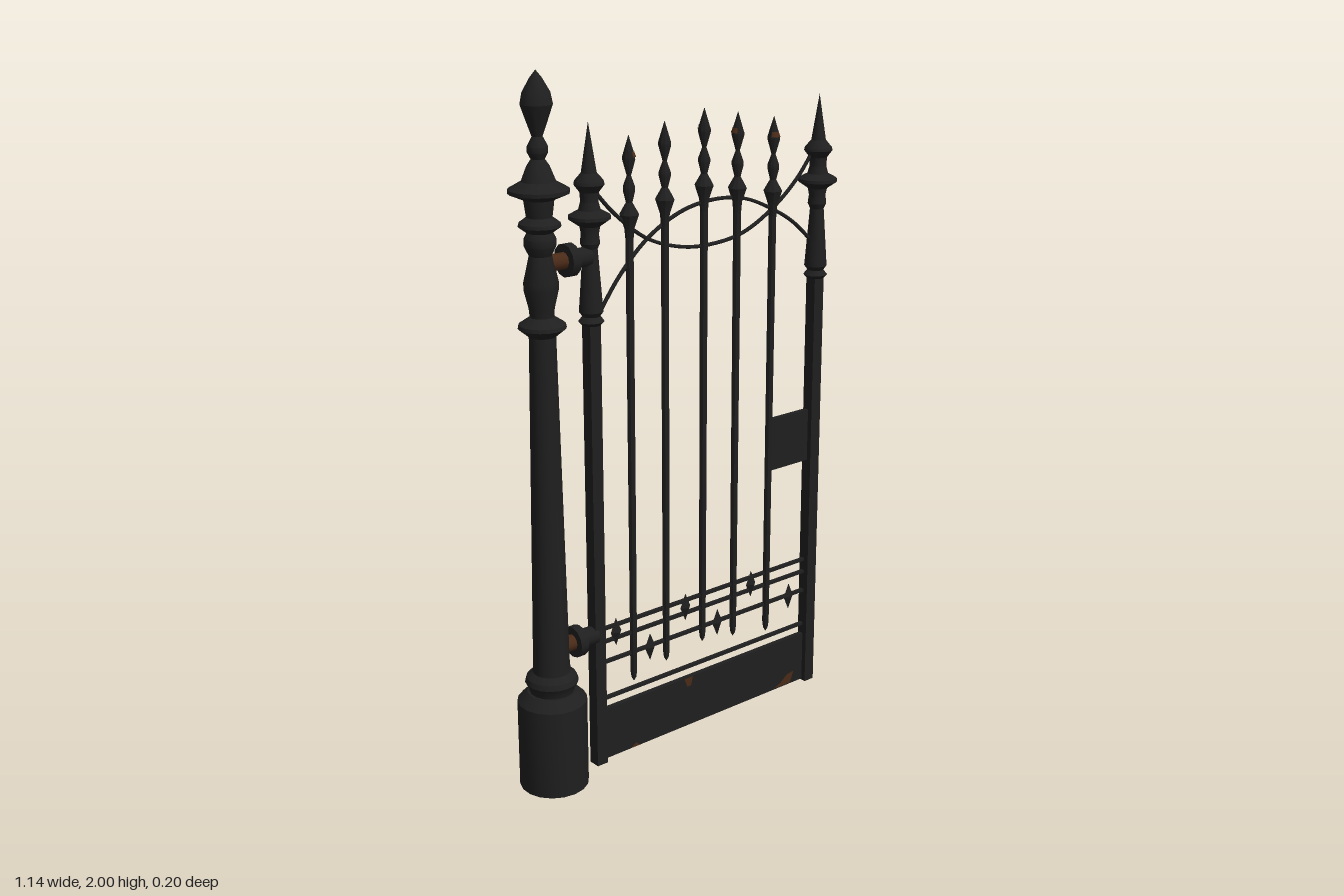
import * as THREE from 'three';
import { toCreasedNormals } from 'three/addons/utils/BufferGeometryUtils.js';

export function createModel() {
  const iron = new THREE.MeshStandardMaterial({ color: 0x1f1f1f });
  iron.name = 'blackIron';
  const rust = new THREE.MeshStandardMaterial({ color: 0x4a2a18 });
  rust.name = 'rust';
  const gate = new THREE.Group();
  gate.name = 'gate';

  const add = (name, geo, x = 0, y = 0, z = 0, mat = iron, parent = gate) => {
    const m = new THREE.Mesh(geo, mat);
    m.name = name;
    m.position.set(x, y, z);
    parent.add(m);
    return m;
  };
  // Profiles are [radius, height] pairs running upwards
  const lathe = (pts, sides) =>
    toCreasedNormals(new THREE.LatheGeometry(pts.map(p => new THREE.Vector2(...p)), sides), 0.5);
  const box = (name, x0, x1, y0, y1, z0, z1) =>
    add(name, new THREE.BoxGeometry(x1 - x0, y1 - y0, z1 - z0), (x0 + x1) / 2, (y0 + y1) / 2, (z0 + z1) / 2);

  // Main pillar: drum base, tapered shaft, turned capital and bud finial
  const pillarX = -0.474;
  add('pillarBase', lathe([[0, 0], [0.098, 0], [0.098, 0.262], [0.07, 0.29], [0, 0.29]], 18), pillarX);
  add('pillarShaft', lathe([
    [0.062, 0.285], [0.064, 0.3], [0.075, 0.32], [0.07, 0.335], [0.053, 0.35], [0.051, 0.38],
    [0.036, 1.3], [0.036, 1.32]], 18), pillarX);
  add('pillarCapital', lathe([
    [0.036, 1.315], [0.064, 1.338], [0.062, 1.348], [0.032, 1.368], [0.034, 1.39], [0.046, 1.44],
    [0.046, 1.46], [0.03, 1.53], [0.042, 1.555], [0.042, 1.575], [0.034, 1.59], [0.056, 1.606],
    [0.054, 1.615], [0.034, 1.63], [0.04, 1.675], [0.08, 1.692], [0.08, 1.702], [0.045, 1.722],
    [0.03, 1.76], [0.018, 1.778], [0.027, 1.795], [0.027, 1.81], [0.014, 1.835], [0.03, 1.88],
    [0.042, 1.915], [0.036, 1.945], [0.016, 1.98], [0, 2]], 18), pillarX);

  // Gate posts with spear finials
  const postFinial = lathe([
    [0, 1.318], [0.026, 1.318], [0.035, 1.328], [0.024, 1.342], [0.033, 1.355], [0.031, 1.38],
    [0.02, 1.525], [0.027, 1.54], [0.024, 1.565], [0.028, 1.585], [0.057, 1.605], [0.056, 1.614],
    [0.03, 1.628], [0.024, 1.65], [0.026, 1.675], [0.041, 1.695], [0.039, 1.704], [0.021, 1.725],
    [0.017, 1.75], [0, 1.857]], 16);
  for (const [side, x] of [['right', -0.315], ['left', 0.51]]) {
    box(side + 'Post', x - 0.018, x + 0.018, 0, 1.33, -0.018, 0.018);
    add(side + 'PostFinial', postFinial, x);
  }

  // Pickets, taller towards the middle, with pointed feet
  const pickets = [[-0.184, 1.81, 0.22], [-0.062, 1.835, 0.245], [0.077, 1.857, 0.265],
    [0.199, 1.835, 0.245], [0.334, 1.81, 0.22]];
  const picketFinial = lathe([
    [0.011, -0.285], [0.014, -0.25], [0.027, -0.212], [0.024, -0.206], [0.009, -0.18],
    [0.017, -0.148], [0.017, -0.138], [0.006, -0.108], [0.018, -0.066], [0.018, -0.058], [0, 0]], 10);
  pickets.forEach(([x, top, bottom], i) => {
    const picket = new THREE.Group();
    picket.name = 'picket' + (i + 1);
    gate.add(picket);
    add('picketBar', lathe([[0, bottom], [0.007, bottom + 0.012], [0.01, bottom + 0.035], [0.011, top - 0.27]], 8),
      x, 0, 0, iron, picket);
    add('picketFinial', picketFinial, x, top, 0, iron, picket);
    // Rust fleck on the spear head
    add('rustFleck', new THREE.CylinderGeometry(0.0145, 0.0195, 0.014, 6, 1, true, i * 1.3, 1.6),
      x, top - 0.051, 0, rust, picket);
  });

  // Horizontal rails, kick panel and lock plate
  const left = -0.3, right = 0.495;
  [0.197, 0.312, 0.376, 0.417].forEach((y, i) =>
    box('rail' + (i + 1), left, right, y - 0.0045, y + 0.0045, -0.009, 0.002));
  box('kickPanel', left, right, 0.004, 0.164, -0.012, 0.003);
  box('lockPlate', 0.34, right, 0.748, 0.91, -0.012, 0.003);

  // Small diamonds between the rails
  const diamond = new THREE.OctahedronGeometry(1).scale(0.019, 0.043, 0.013).toNonIndexed();
  for (const [x, y] of [[-0.247, 0.397], [0.011, 0.397], [0.27, 0.397],
    [-0.123, 0.31], [0.136, 0.31], [0.429, 0.31]]) add('diamond', diamond, x, y);

  // Crossing curved rods at the top
  const rod = (name, pts) => add(name, new THREE.TubeGeometry(
    new THREE.CatmullRomCurve3(pts.map(([x, y]) => new THREE.Vector3(x, y, -0.004))), 48, 0.0055, 6));
  rod('saggingRod', [[-0.31, 1.69], [-0.23, 1.605], [-0.12, 1.523], [0, 1.483], [0.1, 1.475],
    [0.22, 1.49], [0.335, 1.545], [0.43, 1.62], [0.505, 1.71]]);
  rod('archedRod', [[-0.305, 1.315], [-0.22, 1.43], [-0.12, 1.523], [0, 1.582], [0.12, 1.6],
    [0.23, 1.588], [0.335, 1.545], [0.42, 1.495], [0.505, 1.42]]);

  // Hinges joining the pillar to the gate
  const barrel = (name, x, y, r, len, mat, parent) => {
    add(name, new THREE.CylinderGeometry(r, r, len, 12), x, y, 0, mat, parent).rotation.z = Math.PI / 2;
  };
  for (const [name, y] of [['upperHinge', 1.505], ['lowerHinge', 0.412]]) {
    const hinge = new THREE.Group();
    hinge.name = name;
    gate.add(hinge);
    barrel('pillarPin', -0.43, y, 0.023, 0.07, rust, hinge);
    barrel('hingeCollar', -0.388, y, 0.045, 0.025, iron, hinge);
    barrel('postPin', -0.35, y, 0.027, 0.055, iron, hinge);
  }

  // Rust patches on both faces of the panel and on the drum
  const patch = pts => new THREE.ShapeGeometry(new THREE.Shape(pts.map(p => new THREE.Vector2(...p))));
  const patches = [
    [[0.37, 0.008], [0.44, 0.008], [0.455, 0.045], [0.425, 0.04], [0.4, 0.02]],
    [[0.005, 0.163], [0.015, 0.135], [0.03, 0.135], [0.037, 0.163]],
    [[-0.2, 0.006], [-0.17, 0.006], [-0.18, 0.018]],
  ].map(patch);
  patches.forEach(g => {
    add('panelRustFront', g, 0, 0, 0.0045, rust);
    const back = g.clone().rotateY(Math.PI);
    back.translate(2 * g.attributes.position.getX(0), 0, 0);
    add('panelRustBack', back, 0, 0, -0.0135, rust);
  });
  add('drumRust', new THREE.CylinderGeometry(0.099, 0.099, 0.025, 2, 1, true, 2.5, 0.35),
    pillarX, 0.247, 0, rust);
  return gate;
}
